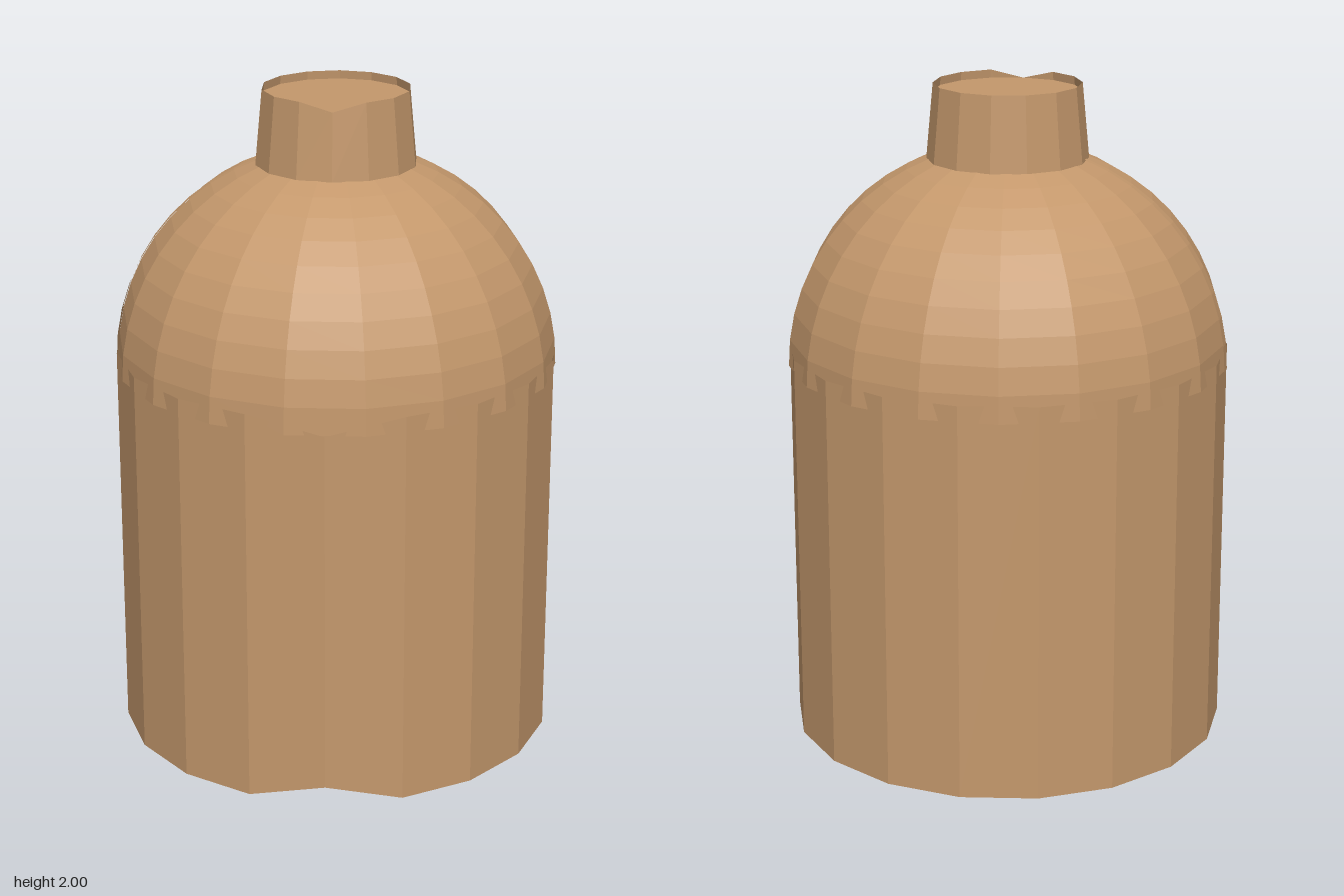
import * as THREE from 'three';

const clay = new THREE.MeshStandardMaterial({ color: 0xc4986c, flatShading: true, side: THREE.DoubleSide });
clay.name = 'tan clay';

function add(parent, name, geometry) {
  const mesh = new THREE.Mesh(geometry, clay);
  mesh.name = name;
  parent.add(mesh);
  return mesh;
}

// Open tube whose front corner is nicked inward by topNick and bottomNick
function nickedTube(rTop, rBottom, y0, y1, sides, topNick, bottomNick) {
  const g = new THREE.CylinderGeometry(rTop, rBottom, y1 - y0, sides, 1, true);
  g.translate(0, (y0 + y1) / 2, 0);
  const p = g.attributes.position;
  for (let i = 0; i < p.count; i++) {
    if (Math.abs(p.getX(i)) > 0.001 || p.getZ(i) < 0) continue;
    const y = p.getY(i);
    p.setY(i, y > (y0 + y1) / 2 ? y - topNick : y + bottomNick);
  }
  g.computeVertexNormals();
  return g;
}

// Flat disc with a corner at the front; dir is 1 for facing up, -1 for down
function disc(radius, sides, y, dir) {
  const g = new THREE.CircleGeometry(radius, sides, -dir * Math.PI / 2);
  g.rotateX(-dir * Math.PI / 2);
  g.translate(0, y, 0);
  return g;
}

// Arc of the shoulder dome, from its lower rim up to the neck
function domeProfile(radius) {
  const points = [];
  const end = Math.acos(0.23 / 0.665);
  for (let i = 0; i <= 10; i++) {
    const a = (end * i) / 10;
    points.push(new THREE.Vector2(radius * Math.cos(a), 1.155 + radius * Math.sin(a)));
  }
  return points;
}

export function createModel() {
  const model = new THREE.Group();
  model.name = 'bottle';

  // Body with a recessed base
  add(model, 'body', nickedTube(0.665, 0.665, 0, 1.205, 18, 0.05, 0.05));
  add(model, 'base', disc(0.664, 18, 0.05, -1));

  // Domed shoulder and its narrow seam on the -x side
  add(model, 'shoulder', new THREE.LatheGeometry(domeProfile(0.665), 18, Math.PI / 2));
  add(model, 'shoulderSeam', new THREE.LatheGeometry(domeProfile(0.668), 1, Math.PI * 1.5 - 0.04, 0.08));

  // Tapered neck with a recessed top
  add(model, 'neck', nickedTube(0.221, 0.242, 1.775, 2, 14, 0.025, 0));
  add(model, 'neckTop', disc(0.222, 14, 1.975, 1));

  return model;
}
